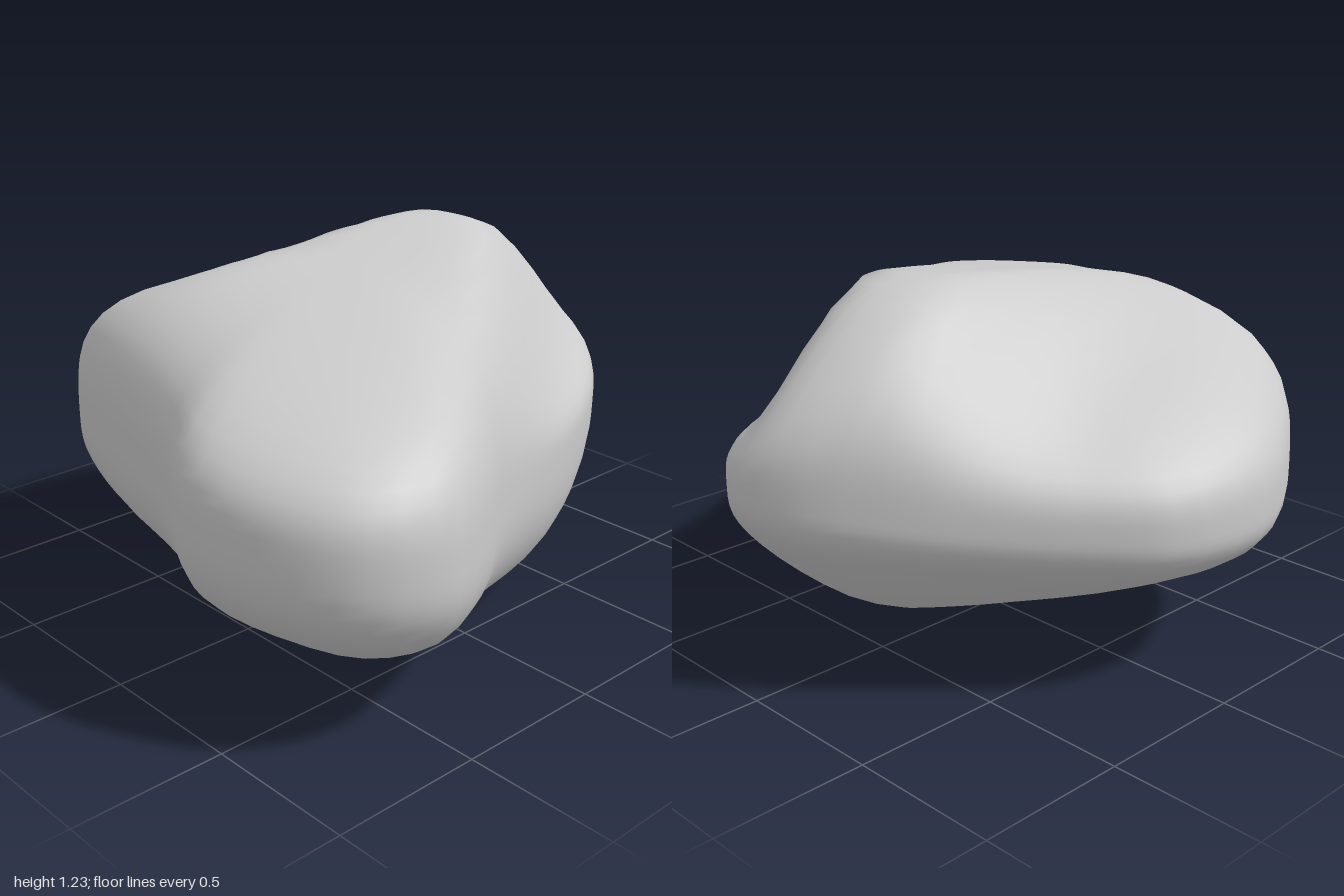
import * as THREE from 'three';
import { mergeVertices } from 'three/addons/utils/BufferGeometryUtils.js';

// Plan outline of the boulder, as [x, z] pairs
const OUTLINE = [
  [-0.18, -0.98], [0.14, -0.93], [0.35, -0.77], [0.59, -0.55], [0.78, -0.36], [0.95, -0.14],
  [1, 0.06], [0.84, 0.3], [0.62, 0.47], [0.38, 0.58], [0.14, 0.65], [-0.09, 0.73],
  [-0.3, 0.86], [-0.57, 0.97], [-0.81, 0.89], [-0.96, 0.65], [-1, 0.37], [-0.87, 0.1],
  [-0.78, -0.18], [-0.72, -0.48], [-0.64, -0.71], [-0.45, -0.87],
];
const CENTRE = [-0.05, 0];

// Rounded minimum and maximum of several heights
function softMin(values, k) {
  return values.reduce((a, b) => {
    const h = Math.max(k - Math.abs(a - b), 0) / k;
    return Math.min(a, b) - h * h * k * 0.25;
  });
}
const softMax = (values, k) => -softMin(values.map((v) => -v), k);

// Upper faces: long crown, hollow back slope, right slope, front-right face
const topHeight = (x, z) => softMin([
  1.2 + 0.14 * x - 0.11 * z,
  softMax([1.29 + 1.1 * (z + 0.19), 0.9 + 0.32 * (z + 0.82) - 0.25 * x], 0.15),
  1.55 - 0.53 * x,
  1.12 - 1.7 * (0.585 * x + 0.81 * z - 0.47),
], 0.12);

// Lower faces: back, left, right, front and the undercut at the back right
const bottomHeight = (x, z) => softMax([
  -0.27 * (z - 0.22),
  -0.02 - 0.27 * x,
  0.05 + 0.72 * (x - 0.5),
  -0.03 + 0.42 * (z - 0.38),
  0.07 + 0.58 * ((x - z) * 0.707 - 0.24),
], 0.1);

function boulderGeometry(around = 60, rings = 32) {
  const curve = new THREE.CatmullRomCurve3(
    OUTLINE.map(([x, z]) => new THREE.Vector3(x, 0, z)), true, 'centripetal');
  const positions = [];
  const index = [];
  for (let j = 0; j <= rings; j++) {
    const phi = (j / rings - 0.5) * Math.PI;
    const upper = phi > 0;
    const n = upper ? 3.5 : 2.7;
    // Superellipse meridian from the underside to the crown
    const c = Math.max(Math.cos(phi), 0), s = Math.abs(Math.sin(phi));
    const norm = Math.pow(Math.pow(c, n) + Math.pow(s, n), -1 / n);
    const spread = j === 0 || j === rings ? 0 : c * norm;
    const lift = s * norm;
    for (let i = 0; i < around; i++) {
      const p = curve.getPoint(i / around);
      const x = CENTRE[0] + (p.x - CENTRE[0]) * spread;
      const z = CENTRE[1] + (p.z - CENTRE[1]) * spread;
      const waist = 0.57 + 0.11 * p.x * p.x;
      const target = upper
        ? softMax([topHeight(x, z), waist + 0.2], 0.12)
        : softMin([bottomHeight(x, z), waist - 0.2], 0.12);
      positions.push(x, waist + (target - waist) * lift, z);
      if (j < rings) {
        const a = j * around + i, b = j * around + (i + 1) % around;
        const d = a + around, e = b + around;
        if (j > 0) index.push(a, d, b);
        if (j < rings - 1) index.push(b, d, e);
      }
    }
  }
  const raw = new THREE.BufferGeometry();
  raw.setAttribute('position', new THREE.Float32BufferAttribute(positions, 3));
  raw.setIndex(index);
  const geometry = mergeVertices(raw, 1e-4);
  // Stand it on the ground
  geometry.computeBoundingBox();
  geometry.translate(0, -geometry.boundingBox.min.y, 0);
  geometry.computeVertexNormals();
  return geometry;
}

export function createModel() {
  const group = new THREE.Group();
  group.name = 'rock';
  const boulder = new THREE.Mesh(
    boulderGeometry(), new THREE.MeshStandardMaterial({ color: 0xcccccc }));
  boulder.name = 'boulder';
  group.add(boulder);
  return group;
}
